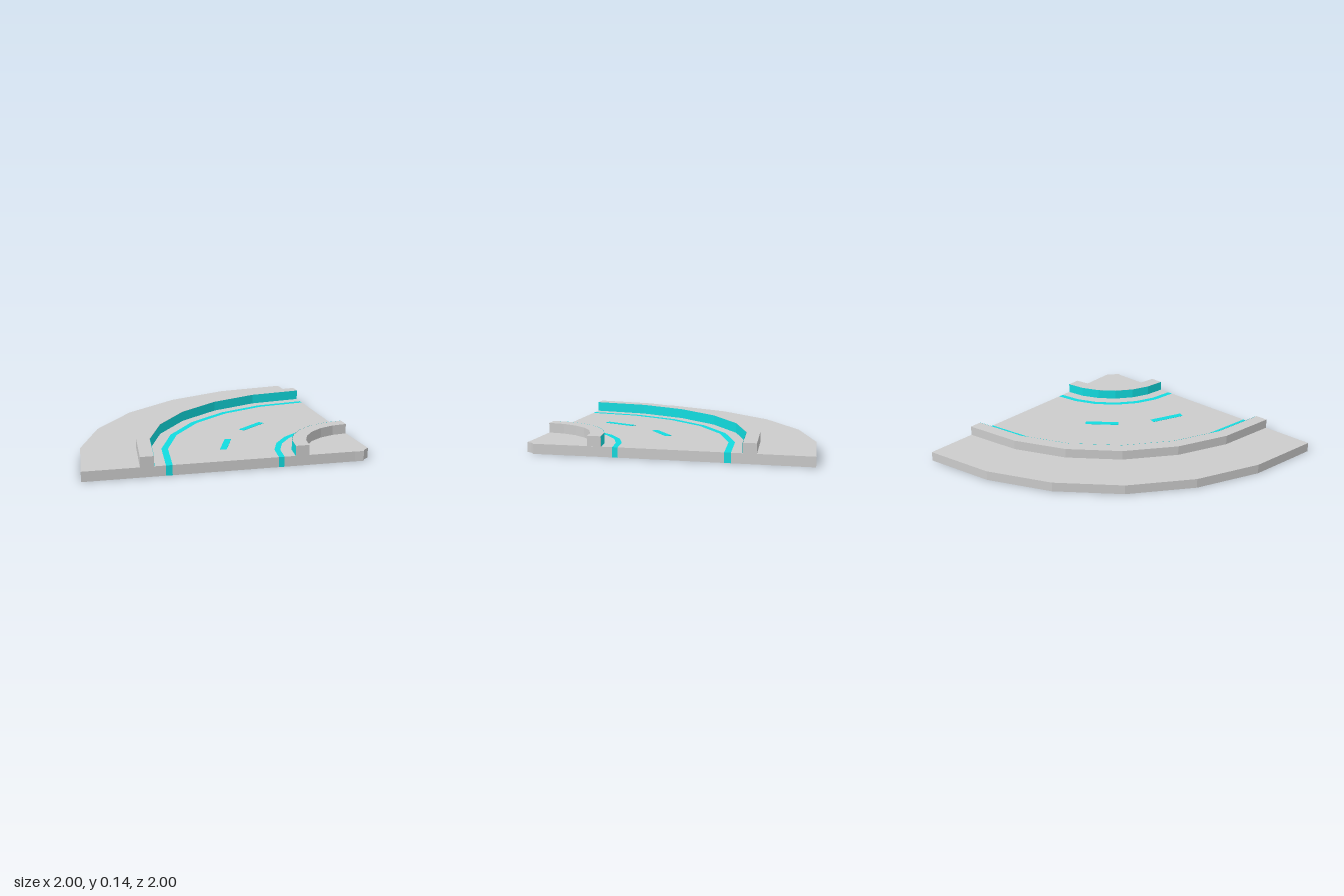
import * as THREE from 'three';

const BASE = 0.07, CURB = 0.14;
const ANGLES = [15.6, 30.1, 45, 59.9, 74.4].map(a => a * Math.PI / 180);

const grey = new THREE.MeshStandardMaterial({ color: 0xcccccc, flatShading: true });
const cyan = new THREE.MeshStandardMaterial({ color: 0x12dce0, flatShading: true, side: THREE.DoubleSide });

// Faceted quarter arc about the corner (1, 1), as [x, z] from the front edge to the side edge
function arc(r) {
  return [
    [1 - r, 0.996],
    ...ANGLES.map(a => [1 - r * Math.cos(a), 1 - r * Math.sin(a)]),
    [0.986, 1 - r],
  ];
}

// Flat slab with the given [x, z] outline between two heights
function slab(name, outline, y0, y1, material) {
  const shape = new THREE.Shape(outline.map(([x, z]) => new THREE.Vector2(x, -z)));
  const geometry = new THREE.ExtrudeGeometry(shape, { depth: y1 - y0, bevelEnabled: false });
  geometry.rotateX(-Math.PI / 2).translate(0, y0, 0);
  const mesh = new THREE.Mesh(geometry, material);
  mesh.name = name;
  return mesh;
}

function band(name, r0, r1, y0, y1, material) {
  return slab(name, [...arc(r1), ...arc(r0).reverse()], y0, y1, material);
}

// Thin upright facing along an arc
function facing(name, r) {
  const positions = [], points = arc(r);
  for (let i = 0; i < points.length - 1; i++) {
    const [ax, az] = points[i], [bx, bz] = points[i + 1];
    positions.push(ax, BASE, az, bx, BASE, bz, bx, CURB, bz);
    positions.push(ax, BASE, az, bx, CURB, bz, ax, CURB, az);
  }
  const geometry = new THREE.BufferGeometry();
  geometry.setAttribute('position', new THREE.Float32BufferAttribute(positions, 3));
  geometry.computeVertexNormals();
  const mesh = new THREE.Mesh(geometry, cyan);
  mesh.name = name;
  return mesh;
}

// Centre-line dash lying on the road
function dash(name, [ax, az], [bx, bz]) {
  const length = Math.hypot(bx - ax, bz - az);
  const mesh = new THREE.Mesh(new THREE.BoxGeometry(length, 0.003, 0.045), cyan);
  mesh.position.set((ax + bx) / 2, BASE + 0.0005, (az + bz) / 2);
  mesh.rotation.y = -Math.atan2(bz - az, bx - ax);
  mesh.name = name;
  return mesh;
}

export function createModel() {
  const model = new THREE.Group();
  model.name = 'curvedRoadTile';

  // Base plate: pavements, road and the edge lines running through it
  model.add(band('outerPavement', 1.44, 2, 0, BASE, grey));
  model.add(band('outerEdgeLine', 1.395, 1.44, 0, BASE, cyan));
  model.add(band('road', 0.665, 1.395, 0, BASE, grey));
  model.add(band('innerEdgeLine', 0.625, 0.665, 0, BASE, cyan));
  const corner = [[0.998, 0.935], [0.96, 0.965], [0.942, 1], [0.88, 0.996]];
  model.add(slab('innerPavement', [...arc(0.625), ...corner], 0, BASE, grey));

  // Raised curbs with coloured faces toward the road
  model.add(band('outerCurb', 1.52, 1.613, BASE, CURB, grey));
  model.add(facing('outerCurbFacing', 1.518));
  model.add(band('innerCurb', 0.45, 0.545, BASE, CURB, grey));
  model.add(facing('innerCurbFacing', 0.547));

  // Dashes along the middle of the road
  model.add(dash('frontDash', [0.02, 0.735], [0.12, 0.495]));
  model.add(dash('backDash', [0.283, 0.282], [0.483, 0.122]));
  return model;
}
